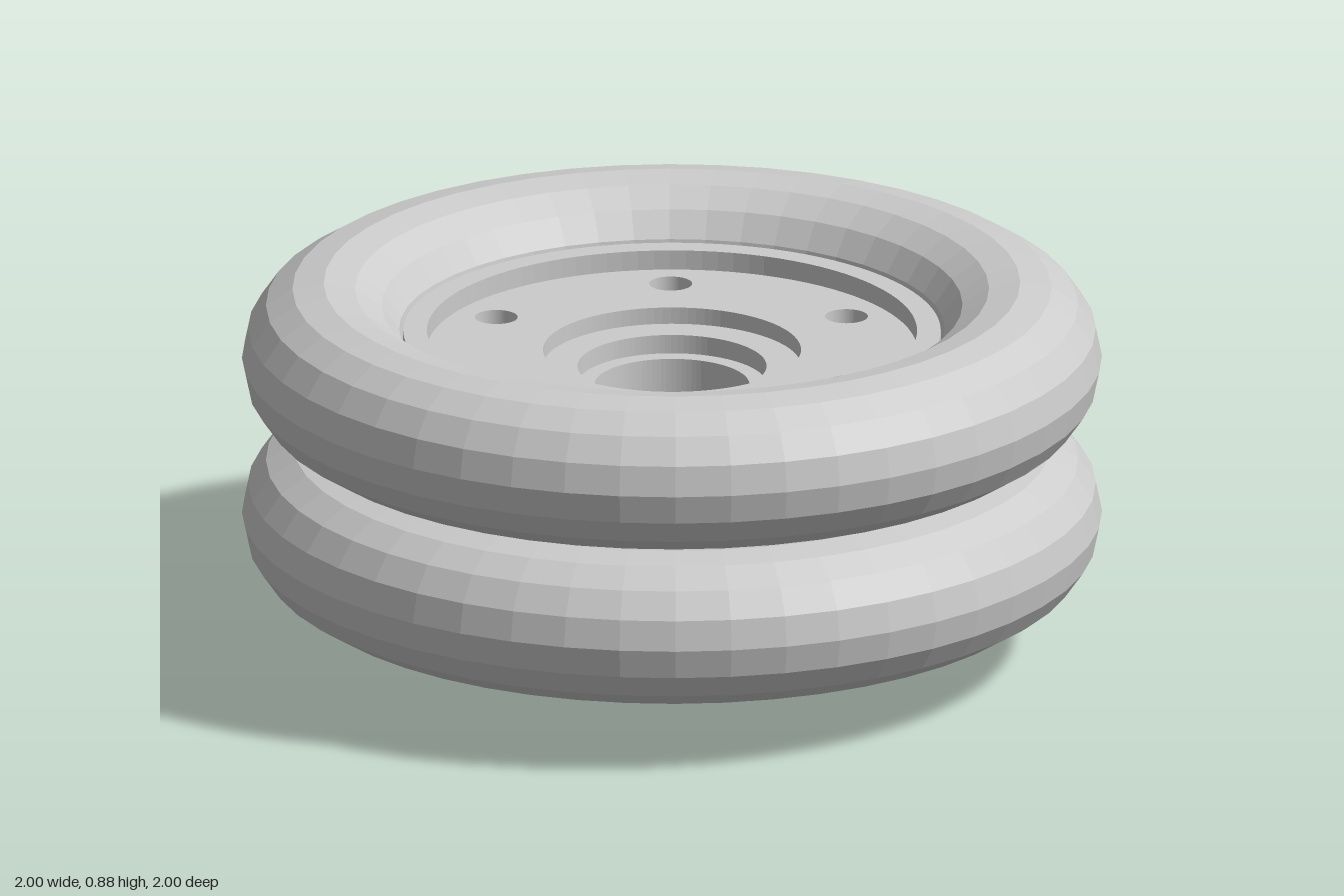
import * as THREE from 'three';

export function createModel() {
  const group = new THREE.Group();
  const material = new THREE.MeshStandardMaterial({ color: 0xcccccc, flatShading: true });

  const add = (name, geometry) => {
    const mesh = new THREE.Mesh(geometry, material);
    mesh.name = name;
    group.add(mesh);
  };

  // Flat ring between two heights, optionally drilled with the six bolt holes
  const ring = (name, y0, y1, outer, inner, drilled = false, divisions = 48) => {
    const shape = new THREE.Shape().absarc(0, 0, outer, 0, Math.PI * 2);
    shape.holes.push(new THREE.Path().absarc(0, 0, inner, 0, Math.PI * 2, true));
    for (let i = 0; drilled && i < 6; i++) {
      const a = THREE.MathUtils.degToRad(22.6 + i * 60);
      shape.holes.push(new THREE.Path().absarc(
        0.47 * Math.cos(a), -0.47 * Math.sin(a), 0.05, 0, Math.PI * 2, true));
    }
    const geometry = new THREE.ExtrudeGeometry(shape, {
      depth: y1 - y0, bevelEnabled: false, curveSegments: divisions,
    });
    geometry.rotateX(-Math.PI / 2).translate(0, y0, 0);
    add(name, geometry);
  };

  // Tyre with a slightly oval cross-section
  const tyre = (name, y) => {
    const points = [];
    for (let i = 0; i <= 16; i++) {
      const a = (i / 16) * Math.PI * 2;
      points.push(new THREE.Vector2(0.81 + 0.19 * Math.cos(a), y + 0.1825 * Math.sin(a)));
    }
    add(name, new THREE.LatheGeometry(points, 48));
  };

  tyre('lowerTyre', 0.3225);
  tyre('upperTyre', 0.7025);

  // Rim bands that carry the tyres; the upper one stands above the disc
  ring('lowerRim', 0.25, 0.39, 0.625, 0.57);
  ring('upperRim', 0.63, 0.767, 0.625, 0.57);

  // Wheel body with a stepped centre recess
  ring('wheelBody', 0.206, 0.635, 0.57, 0.18, true);
  ring('innerStep', 0.635, 0.68, 0.57, 0.22, true);
  ring('outerStep', 0.68, 0.72, 0.57, 0.3, true);

  // Projecting hub with the axle hole
  ring('hub', 0, 0.206, 0.2, 0.1, false, 24);

  return group;
}
